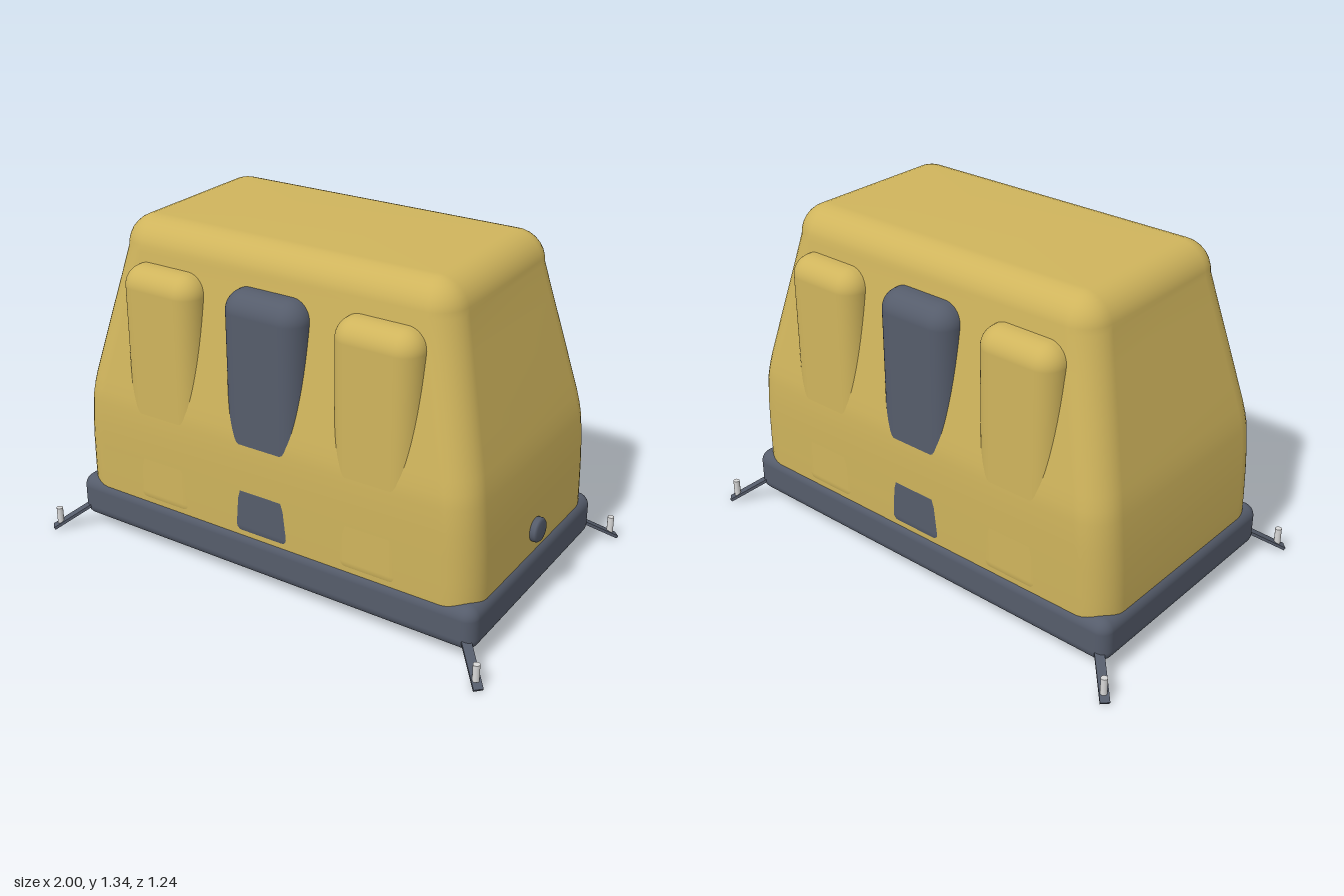
import * as THREE from 'three';
import { RoundedBoxGeometry } from 'three/addons/geometries/RoundedBoxGeometry.js';

const material = (name, color) => {
  const m = new THREE.MeshStandardMaterial({ color });
  m.name = name;
  return m;
};

// Smooth tapered shell from stacked rounded-rectangle rings [y, halfX, halfZ, cornerRadius]
function shellGeometry(rings, steps = 8) {
  const pos = [], index = [];
  const n = 4 * (steps + 1);
  for (const [y, hx, hz, r] of rings) {
    for (let c = 0; c < 4; c++) {
      const sx = c === 0 || c === 3 ? 1 : -1, sz = c < 2 ? 1 : -1;
      for (let i = 0; i <= steps; i++) {
        const a = (c + i / steps) * Math.PI / 2;
        pos.push(sx * (hx - r) + r * Math.cos(a), y, sz * (hz - r) + r * Math.sin(a));
      }
    }
  }
  for (let k = 0; k < rings.length - 1; k++) {
    for (let i = 0; i < n; i++) {
      const a = k * n + i, b = k * n + (i + 1) % n;
      index.push(a, a + n, b, b, a + n, b + n);
    }
  }
  // flat lids
  const last = (rings.length - 1) * n, bottom = pos.length / 3, top = bottom + 1;
  pos.push(0, rings[0][0], 0, 0, rings[rings.length - 1][0], 0);
  for (let i = 0; i < n; i++) {
    const j = (i + 1) % n;
    index.push(bottom, i, j, top, last + j, last + i);
  }
  const g = new THREE.BufferGeometry();
  g.setAttribute('position', new THREE.Float32BufferAttribute(pos, 3));
  g.setIndex(index);
  g.computeVertexNormals();
  return g;
}

export function createModel() {
  const model = new THREE.Group();
  const yellow = material('yellow fabric', 0xcfb45c);
  const slate = material('slate fabric', 0x555c6b);
  const pale = material('pale metal', 0xd8d8d8);

  const add = (name, geometry, mat, x, y, z) => {
    const mesh = new THREE.Mesh(geometry, mat);
    mesh.name = name;
    mesh.position.set(x, y, z);
    model.add(mesh);
    return mesh;
  };

  // Body: upright below, tapering above, with a rounded top edge
  const R = 0.12;
  const rings = [
    [0.08, 0.885, 0.49], [0.2, 0.889, 0.496], [0.3, 0.887, 0.498], [0.41, 0.883, 0.5],
    [0.5, 0.877, 0.502], [0.6, 0.868, 0.5005], [0.65, 0.86, 0.495], [0.7, 0.85, 0.487],
    [0.8, 0.825, 0.47], [0.95, 0.788, 0.444], [1.1, 0.75, 0.418],
  ].map(ring => [...ring, R]);
  for (let i = 0; i <= 8; i++) {
    const a = (i / 8) * Math.PI / 2, inset = R * (1 - Math.cos(a));
    rings.push([1.223 + R * Math.sin(a), 0.72 - inset, 0.397 - inset, Math.max(R - inset, 0.004)]);
  }
  add('body', shellGeometry(rings), yellow, 0, 0, 0);

  // Base cushion
  add('base', new RoundedBoxGeometry(1.81, 0.18, 1.014, 6, 0.05), slate, 0, 0.145, 0);

  // Padded columns on the front and back, the middle ones dark
  const column = new RoundedBoxGeometry(0.344, 1.01, 0.3, 8, 0.08);
  for (const sz of [1, -1]) {
    for (const x of [-0.465, 0, 0.465]) {
      add(sz > 0 ? 'frontColumn' : 'backColumn', column, x === 0 ? slate : yellow, x, 0.685, sz * 0.35);
    }
  }

  // Round valve on the left side
  const valveProfile = [[0, -0.018], [0.04, -0.018], [0.048, -0.009], [0.048, 0.009], [0.04, 0.018], [0, 0.018]]
    .map(([r, h]) => new THREE.Vector2(r, h));
  add('valve', new THREE.LatheGeometry(valveProfile, 32), slate, 0.897, 0.315, 0).rotation.z = -Math.PI / 2;

  // Tie-down straps and pegs at the four corners
  const inner = new THREE.Vector3(0.865, 0.108, 0.485), outer = new THREE.Vector3(0.983, 0.011, 0.603);
  const strap = new THREE.BoxGeometry(0.036, 0.012, inner.distanceTo(outer));
  const peg = new THREE.CylinderGeometry(0.013, 0.013, 0.068, 16);
  for (const sx of [1, -1]) {
    for (const sz of [1, -1]) {
      const flip = new THREE.Vector3(sx, 1, sz);
      const a = inner.clone().multiply(flip), b = outer.clone().multiply(flip);
      const mid = a.clone().add(b).multiplyScalar(0.5);
      add('strap', strap, slate, mid.x, mid.y, mid.z).lookAt(b);
      add('peg', peg, pale, sx * 0.962, 0.066, sz * 0.584);
    }
  }
  return model;
}
